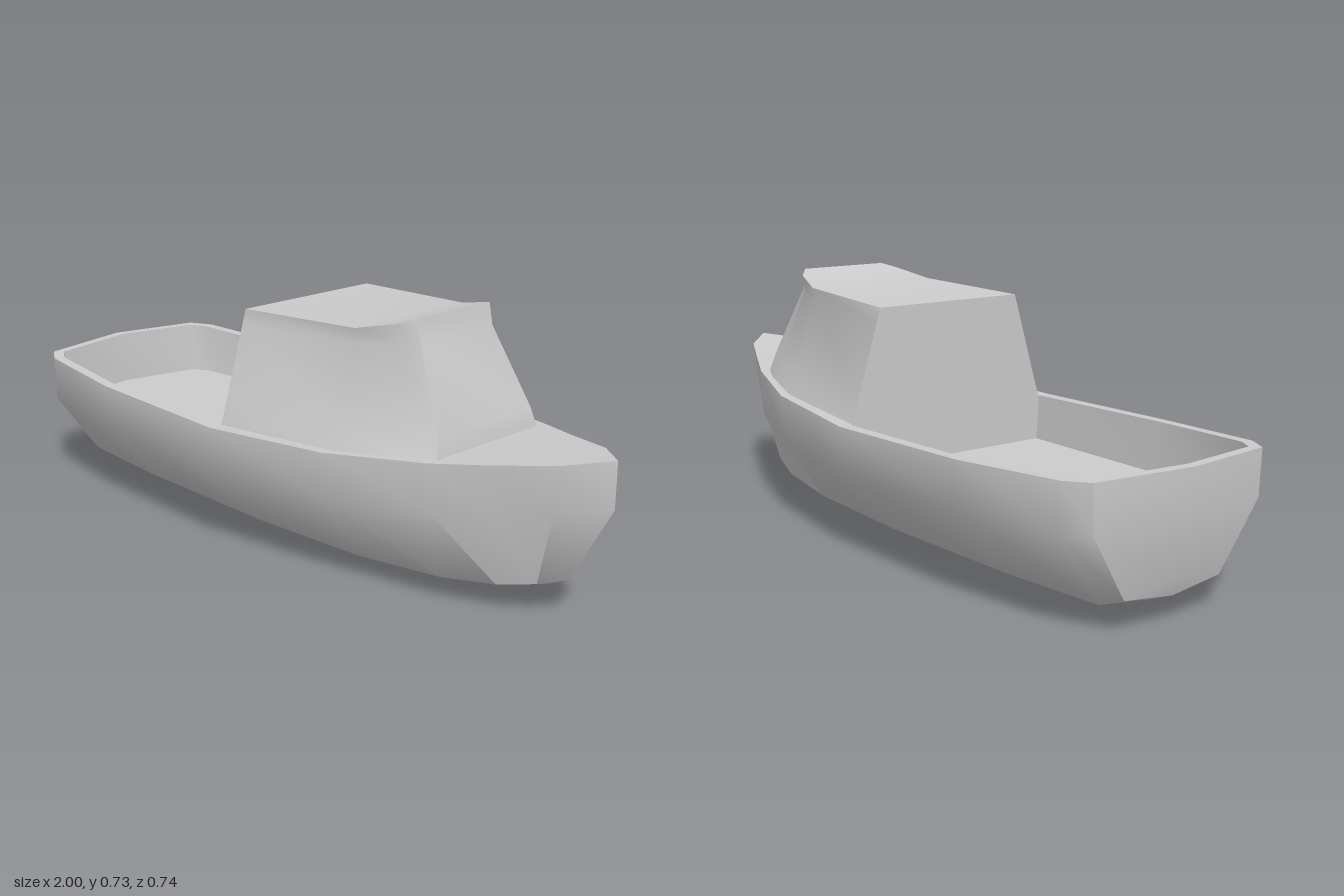
import * as THREE from 'three';
import { toCreasedNormals } from 'three/addons/utils/BufferGeometryUtils.js';

const material = new THREE.MeshStandardMaterial({ color: 0xcccccc, side: THREE.DoubleSide });
const flip = ([x, y, z]) => [x, y, -z];

// Skin a grid of points; rows follow one another, collapsed triangles are dropped.
function loft(name, rows, crease = 0.6) {
  const positions = [];
  const tri = (...points) => {
    const t = new THREE.Triangle(...points.map((p) => new THREE.Vector3(...p)));
    if (t.getArea() > 1e-7) positions.push(...points.flat());
  };
  for (let i = 0; i < rows.length - 1; i++) {
    for (let j = 0; j < rows[i].length - 1; j++) {
      const a = rows[i][j], b = rows[i][j + 1], c = rows[i + 1][j + 1], d = rows[i + 1][j];
      tri(a, b, c);
      tri(a, c, d);
    }
  }
  const geometry = new THREE.BufferGeometry();
  geometry.setAttribute('position', new THREE.Float32BufferAttribute(positions, 3));
  const mesh = new THREE.Mesh(toCreasedNormals(geometry, crease), material);
  mesh.name = name;
  return mesh;
}

// Half sections of the hull, stern to bow: rim, topside, chine, keel.
const hullStations = [
  [[-0.955, 0.395, 0.28], [-0.955, 0.27, 0.275], [-0.94, 0.09, 0.16], [-0.94, 0.07, 0]],
  [[-0.89, 0.393, 0.32], [-0.89, 0.262, 0.318], [-0.88, 0.068, 0.183], [-0.87, 0.04, 0]],
  [[-0.56, 0.38, 0.36], [-0.56, 0.255, 0.36], [-0.56, 0.06, 0.198], [-0.55, 0.018, 0]],
  [[-0.06, 0.37, 0.37], [-0.06, 0.25, 0.37], [-0.06, 0.055, 0.2], [-0.06, 0, 0]],
  [[0.33, 0.385, 0.323], [0.33, 0.26, 0.32], [0.33, 0.06, 0.187], [0.36, 0.007, 0]],
  [[0.61, 0.405, 0.23], [0.61, 0.275, 0.225], [0.58, 0.068, 0.148], [0.55, 0.018, 0]],
  [[0.75, 0.42, 0.165], [0.745, 0.29, 0.155], [0.73, 0.08, 0.1], [0.68, 0.035, 0]],
  [[0.9, 0.44, 0.095], [0.885, 0.31, 0.085], [0.82, 0.095, 0.05], [0.82, 0.08, 0]],
  [[1, 0.455, 0], [1, 0.33, 0], [0.88, 0.11, 0], [0.88, 0.11, 0]],
];

// Half outline of the open well, stern centre first: floor, inner rim, outer rim.
const wellStations = [
  [[-0.965, 0.24, 0], [-0.972, 0.4, 0], [-1, 0.4, 0]],
  [[-0.918, 0.24, 0.25], [-0.93, 0.395, 0.258], [-0.955, 0.395, 0.28]],
  [[-0.87, 0.24, 0.28], [-0.88, 0.393, 0.29], [-0.89, 0.393, 0.32]],
  [[-0.55, 0.24, 0.318], [-0.55, 0.38, 0.33], [-0.56, 0.38, 0.36]],
  [[-0.06, 0.24, 0.325], [-0.06, 0.37, 0.335], [-0.06, 0.37, 0.37]],
];

// Half sections of the cabin, aft to front: base, foot, neck, roof edge.
const cabinStations = [
  [[-0.06, 0.37, 0.33], [-0.06, 0.43, 0.311], [-0.06, 0.64, 0.247], [-0.06, 0.68, 0.235]],
  [[0.33, 0.385, 0.295], [0.33, 0.445, 0.265], [0.325, 0.65, 0.203], [0.33, 0.692, 0.208]],
  [[0.53, 0.398, 0.235], [0.52, 0.452, 0.212], [0.44, 0.66, 0.168], [0.44, 0.716, 0.175]],
  [[0.61, 0.405, 0.198], [0.598, 0.46, 0.183], [0.495, 0.67, 0.14], [0.483, 0.73, 0.14]],
];

export function createModel() {
  const boat = new THREE.Group();
  boat.name = 'boat';

  // Hull skin from rim to keel to rim
  boat.add(loft('hull', hullStations.map((s) => [...s, ...s.slice(0, 3).reverse().map(flip)]), 0.85));

  // Slightly bowed transom
  const corner = hullStations[0];
  const sternLine = [[-1, 0.4, 0], [-1, 0.29, 0], [-0.96, 0.12, 0], [-0.94, 0.07, 0]];
  boat.add(loft('transom', [corner.map(flip), sternLine, corner]));

  // Bulwark with its flat cap, and the well floor
  const aroundStern = [...wellStations.slice(1).reverse().map((s) => s.map(flip)), ...wellStations];
  boat.add(loft('bulwark', aroundStern));
  boat.add(loft('wellFloor', wellStations.map(([p]) => [flip(p), p])));

  // Deck around and ahead of the cabin
  boat.add(loft('foredeck', hullStations.slice(3).map(([p]) => [flip(p), p])));

  // Cabin sides and roof, windscreen and aft bulkhead
  const cabin = new THREE.Group();
  cabin.name = 'cabin';
  cabin.add(loft('cabinShell', cabinStations.map((s) => [...s.map(flip), ...s.slice().reverse()])));
  const front = cabinStations[3];
  cabin.add(loft('cabinFront', [front.map(flip), front]));
  const aft = [wellStations[4][0], ...cabinStations[0]];
  cabin.add(loft('cabinBack', [aft, aft.map(flip)]));
  boat.add(cabin);

  return boat;
}
